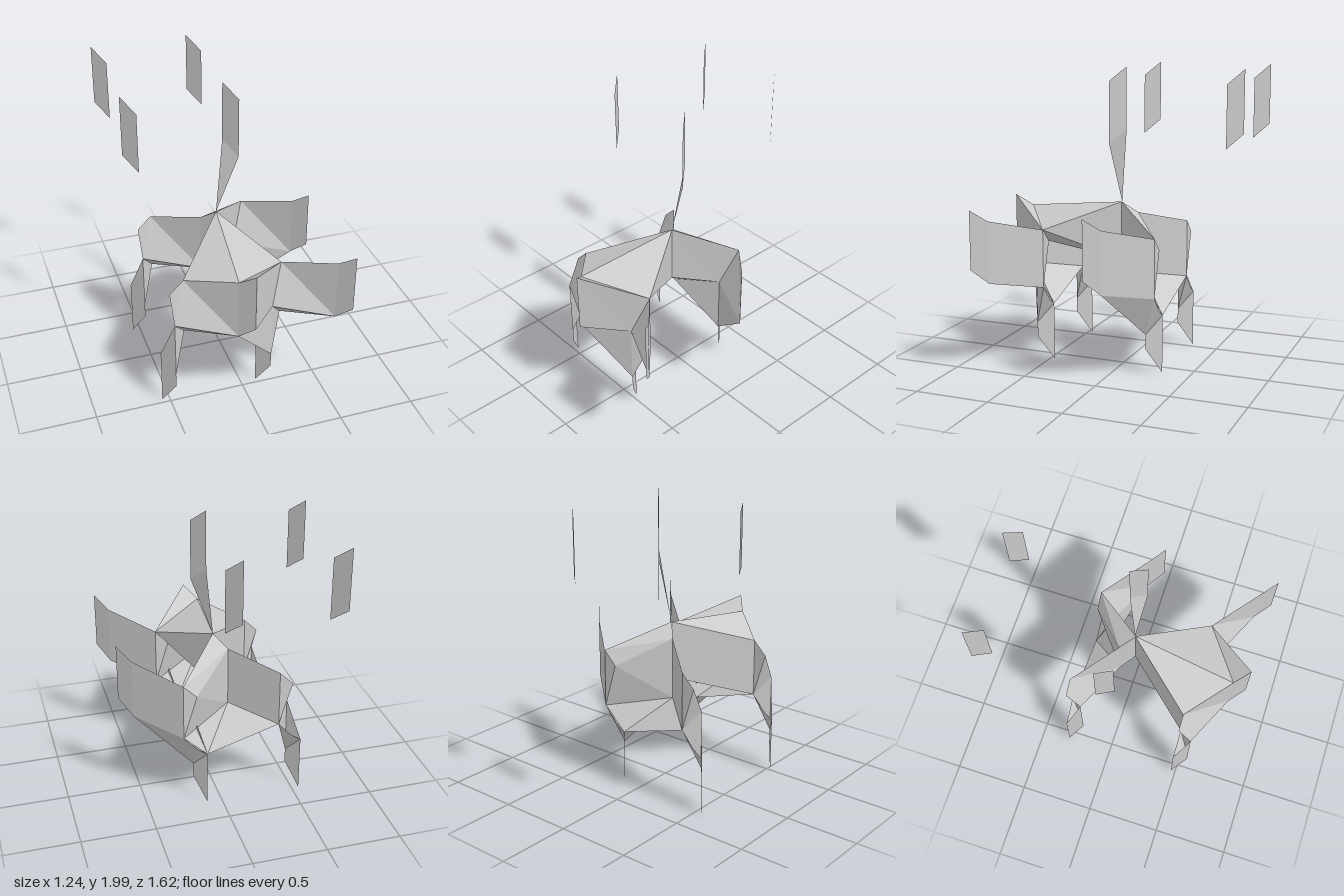
import * as THREE from 'three';

// Lattice spacing of the repeating folded unit
const DX = 0.65, DZ = 0.78;

// Corners of one unit: wing (A, B, C with top and bottom), knee, leg and rear column
const POINTS = {
  At: [-0.39, 0.94, 0.47], Ab: [-0.39, 0.55, 0.47],
  Bt: [-0.11, 1.03, 0.72], Bb: [-0.11, 0.62, 0.72],
  Ct: [-0.03, 1.11, 0.81], Cb: [-0.03, 0.72, 0.81],
  Dt: [-0.03, 1.11, 0.025], Db: [-0.03, 0.72, 0.025],
  K: [-0.475, 0.67, 0.56], P: [-0.48, 0.85, 0.47], Q: [-0.48, 0.45, 0.47],
  L: [-0.475, 0.28, 0.56], M: [-0.475, 0.18, 0.56],
  N: [-0.55, 0.40, 0.47], O: [-0.55, 0.01, 0.47],
  // Hanging blade and the tip its neck grows from
  F0: [-0.62, 2.0, -0.81], F1: [-0.62, 1.6, -0.81],
  F2: [-0.54, 1.51, -0.72], F3: [-0.54, 1.91, -0.72],
};

// A name ending in ' means the same corner in the next unit along x
function corner(key) {
  const p = POINTS[key.replace("'", '')];
  return key.endsWith("'") ? [p[0] + DX, p[1], p[2]] : p;
}

// Builds a flat-shaded sheet from triangles and quads written as corner names
function sheet(name, faces, x = 0, z = 0) {
  const pos = [];
  for (const face of faces) {
    const c = face.split(' ').map(corner);
    for (let i = 1; i < c.length - 1; i++) pos.push(...c[0], ...c[i], ...c[i + 1]);
  }
  const geo = new THREE.BufferGeometry();
  geo.setAttribute('position', new THREE.Float32BufferAttribute(pos, 3));
  geo.computeVertexNormals();
  const mesh = new THREE.Mesh(geo, new THREE.MeshStandardMaterial({
    color: 0xcccccc, flatShading: true, side: THREE.DoubleSide,
  }));
  mesh.name = name;
  mesh.position.set(x, 0, z);
  return mesh;
}

const WING = ['At Bt Bb', 'At Bb K', 'K Bb Ab', 'At Ab Bb', 'Bt Ct Cb Bb', 'P At K', 'At P Ab', 'P Ab K'];
const LEG = ['K L Ab', 'K N L', 'L M O N', 'Ab Q L', 'Q N L'];
const SPAN = ["Ct At' K' Cb", "Cb K' Bb", "Bb K' L'", "Ab Bb N'", "Bb L' N'",
  "Bt Ct At'", "Bt At' P'", "Bt P' Bb", "P' Bb Ab'", "Bb Ab' N'"];
const ROOF = ['Dt At Bt', "Dt Bt At'"];
const REAR_WALLS = ['Dt Db Ab At', "Dt Db At'", "Db At' P'"];

export function createModel() {
  const model = new THREE.Group();
  model.name = 'foldedLattice';

  // Wings, legs and blades repeat on a two by two lattice
  for (const i of [0, 1]) {
    for (const j of [0, 1]) {
      model.add(sheet('wing', WING, i * DX, -j * DZ));
      model.add(sheet('leg', LEG, i * DX, -j * DZ));
      model.add(sheet('blade', ['F0 F1 F2 F3'], i * DX, j * DZ));
    }
  }

  // Folded sheets joining each left wing to the right one
  for (const j of [0, 1]) model.add(sheet('span', SPAN, 0, -j * DZ));

  // Front unit is roofed and walled back to the central column
  model.add(sheet('roof', ROOF));
  model.add(sheet('rearWalls', REAR_WALLS));

  // Gusset under the rear right wing
  model.add(sheet('gusset', ["K' Bb' L'", "Ab' Bb' L'"], 0, -DZ));

  // Neck tapering from the central blade down to the column
  POINTS.tip = [POINTS.Dt[0], POINTS.Dt[1], POINTS.Dt[2] - DZ];
  model.add(sheet('neck', ["tip F2' F1'"], 0, DZ));
  return model;
}
